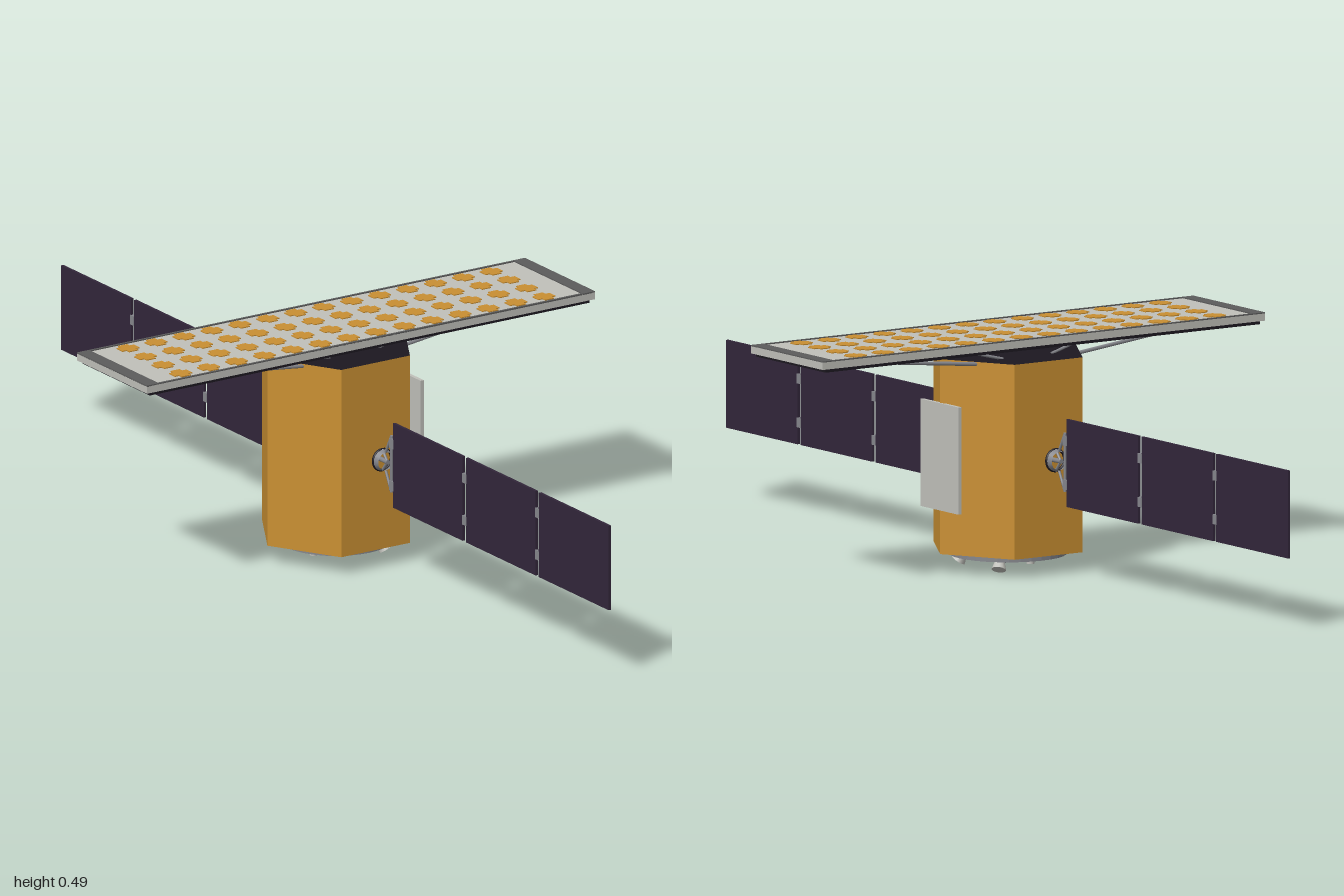
import * as THREE from 'three';

const mat = (name, color, side = THREE.FrontSide) => {
  const m = new THREE.MeshStandardMaterial({ color, side });
  m.name = name;
  return m;
};

export function createModel() {
  const foil = mat('goldFoil', 0xc98f32);
  const black = mat('blackBlanket', 0x1c1820);
  const cell = mat('solarCell', 0x32263a);
  const pale = mat('paleGrey', 0xc0c0ba);
  const metal = mat('metalGrey', 0x85868c, THREE.DoubleSide);
  const dark = mat('darkGrey', 0x5c5c5c);

  const root = new THREE.Group();
  root.name = 'satellite';
  const add = (parent, name, geo, material, x = 0, y = 0, z = 0) => {
    const m = new THREE.Mesh(geo, material);
    m.name = name;
    m.position.set(x, y, z);
    parent.add(m);
    return m;
  };
  const box = (parent, name, size, material, x, y, z) =>
    add(parent, name, new THREE.BoxGeometry(...size), material, x, y, z);
  // round bar between two points
  const bar = (parent, name, a, b, r, material) => {
    const p = new THREE.Vector3(...a), q = new THREE.Vector3(...b);
    const d = q.clone().sub(p);
    const m = add(parent, name, new THREE.CylinderGeometry(r, r, d.length(), 8), material);
    m.position.copy(p).add(q).multiplyScalar(0.5);
    m.quaternion.setFromUnitVectors(new THREE.Vector3(0, 1, 0), d.normalize());
    return m;
  };

  // hexagonal body with corners on the x axis and dark end caps
  const hex = new THREE.CylinderGeometry(0.167, 0.167, 0.4, 6, 1, false, Math.PI / 6).toNonIndexed();
  hex.computeVertexNormals();
  add(root, 'body', hex, [foil, black, black], 0, 0.24, 0);

  // radiator on the +x corner
  box(root, 'radiator', [0.008, 0.22, 0.135], pale, 0.165, 0.24, 0);

  // adapter ring below the body
  const ring = [[0.108, 0.027], [0.12, 0.027], [0.12, 0.041], [0.108, 0.041], [0.108, 0.027]];
  const ringGeo = new THREE.LatheGeometry(ring.map(p => new THREE.Vector2(...p)), 32).toNonIndexed();
  ringGeo.computeVertexNormals();
  add(root, 'adapterRing', ringGeo, metal);

  // thrusters and bottom antenna
  for (const s of [-1, 1]) {
    const t = new THREE.Group();
    t.name = 'thruster';
    add(t, 'thrusterMount', new THREE.CylinderGeometry(0.012, 0.012, 0.016, 12), black, 0, 0.006, 0);
    add(t, 'thrusterNozzle', new THREE.CylinderGeometry(0.01, 0.015, 0.018, 12), pale, 0, -0.01, 0);
    t.position.set(0.065, 0.025, s * 0.065);
    t.rotation.set(-s * 0.4, 0, 0.4);
    root.add(t);
  }
  add(root, 'bottomAntennaBase', new THREE.CylinderGeometry(0.011, 0.011, 0.024, 12), black, -0.055, 0.028, 0);
  add(root, 'bottomAntenna', new THREE.CylinderGeometry(0.008, 0.008, 0.018, 12), pale, -0.055, 0.009, 0);

  // flat antenna array above the body
  const array = new THREE.Group();
  array.name = 'antennaArray';
  root.add(array);
  box(array, 'arrayPanel', [1.09, 0.015, 0.256], pale, 0, 0.4775, 0);
  box(array, 'arrayBacking', [1.07, 0.007, 0.246], black, 0, 0.4665, 0);
  for (const s of [-1, 1]) {
    box(array, 'arrayEndStrip', [0.029, 0.003, 0.256], dark, s * 0.5305, 0.4858, 0);
    box(array, 'arrayEdgeStrip', [1.03, 0.003, 0.005], dark, 0, 0.4858, s * 0.1255);
  }

  // cross-shaped radiating patches, 14 by 4
  const w = 0.021, n = 0.011;
  const cross = new THREE.Shape([
    [n, -w], [n, -n], [w, -n], [w, n], [n, n], [n, w],
    [-n, w], [-n, n], [-w, n], [-w, -n], [-n, -n], [-n, -w],
  ].map(p => new THREE.Vector2(...p)));
  const patch = new THREE.ExtrudeGeometry(cross, { depth: 0.003, bevelEnabled: false });
  patch.rotateX(-Math.PI / 2);
  for (let i = 0; i < 14; i++)
    for (let j = 0; j < 4; j++)
      add(array, 'patch', patch, foil, (i - 6.5) * 0.068, 0.484, (j - 1.5) * 0.064);

  // struts holding the array
  for (const sx of [-1, 1])
    for (const sz of [-1, 1]) {
      bar(root, 'longStrut', [sx * 0.125, 0.435, sz * 0.068], [sx * 0.4, 0.463, sz * 0.055], 0.004, metal);
      bar(root, 'shortStrut', [sx * 0.06, 0.44, sz * 0.068], [sx * 0.155, 0.463, sz * 0.055], 0.003, metal);
    }

  // solar wings along +z and -z
  for (const s of [1, -1]) {
    const wing = new THREE.Group();
    wing.name = s > 0 ? 'frontWing' : 'backWing';
    wing.rotation.y = s > 0 ? 0 : Math.PI;
    root.add(wing);
    for (let i = 0; i < 3; i++) {
      const z0 = 0.212 + i * 0.2665;
      box(wing, 'solarPanel', [0.006, 0.18, 0.255], cell, 0, 0.24, z0 + 0.1275);
      for (const dy of [-0.045, 0.045])
        box(wing, 'hinge', [0.008, 0.02, 0.014], metal, 0, 0.24 + dy, z0 - 0.005);
    }
    // yoke and drive
    bar(wing, 'driveShaft', [0, 0.24, 0.14], [0, 0.24, 0.19], 0.005, metal);
    const drive = add(wing, 'driveRing', new THREE.CylinderGeometry(0.024, 0.019, 0.016, 20, 1, true), metal, 0, 0.24, 0.175);
    drive.rotation.x = -Math.PI / 2;
    add(wing, 'driveRim', new THREE.TorusGeometry(0.022, 0.003, 8, 24), black, 0, 0.24, 0.169);
    for (const dy of [-1, 1]) {
      bar(wing, 'yokeArm', [0, 0.24 + dy * 0.02, 0.182], [0, 0.24 + dy * 0.06, 0.203], 0.003, metal);
      bar(wing, 'yokeSpoke', [0, 0.24, 0.188], [0, 0.24 + dy * 0.022, 0.17], 0.003, metal);
    }
    bar(wing, 'yokeBar', [0, 0.18, 0.203], [0, 0.3, 0.203], 0.003, metal);
  }
  return root;
}
